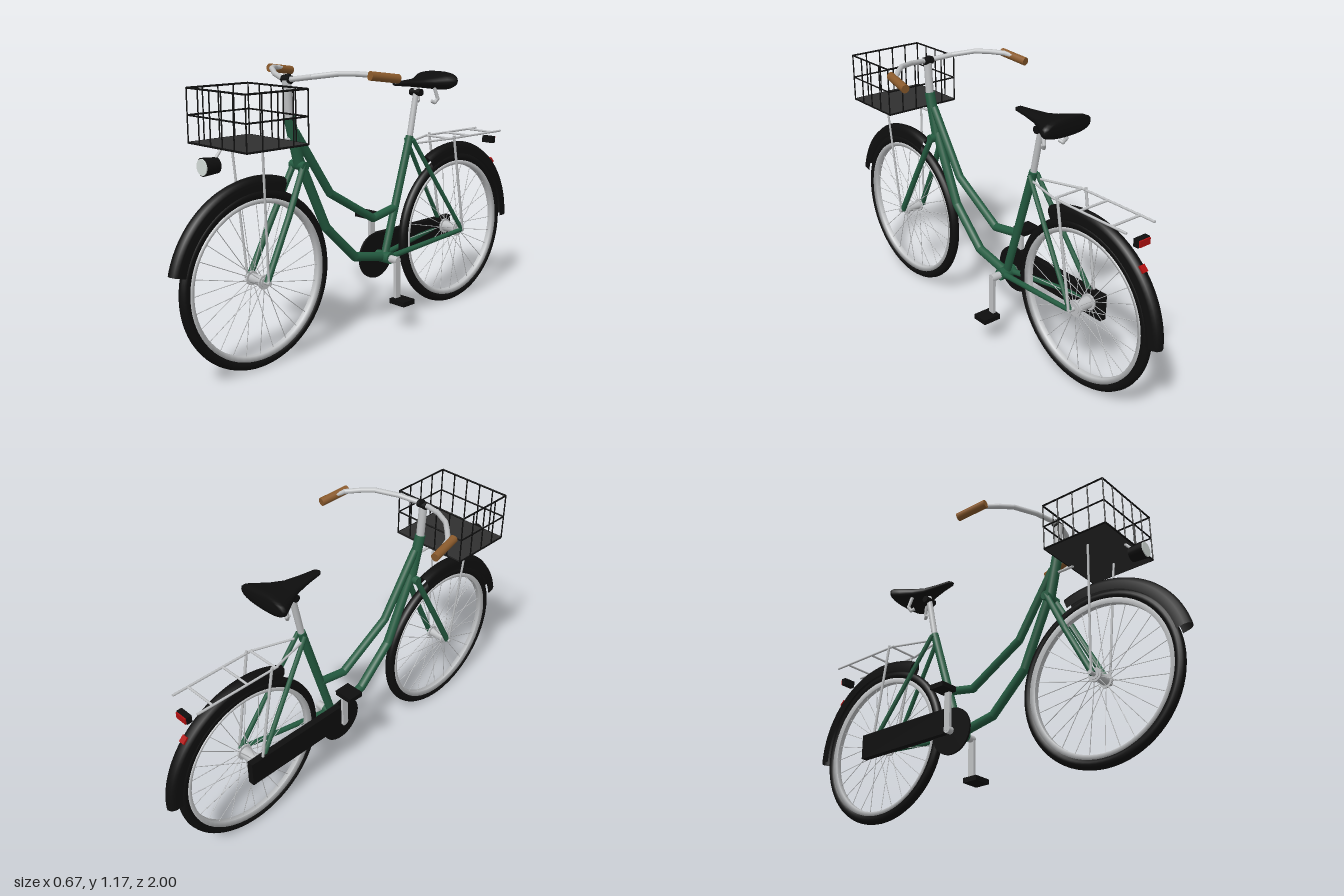
import * as THREE from 'three';

const mat = (name, color, extra = {}) => {
  const m = new THREE.MeshStandardMaterial({ color, ...extra });
  m.name = name;
  return m;
};
const V = (x, y, z) => new THREE.Vector3(x, y, z);

export function createModel() {
  const bike = new THREE.Group();
  bike.name = 'bicycle';
  const green = mat('frame green', 0x245c41);
  const silver = mat('silver metal', 0xbfc1c3);
  const black = mat('black', 0x0e0e0e, { side: THREE.DoubleSide });
  const brown = mat('brown grip', 0x8a5a2c);
  const charcoal = mat('charcoal', 0x303030);
  const red = mat('reflector red', 0xb01010);
  const lens = mat('lamp lens', 0xd4dcd8);

  const group = (name, parent = bike) => {
    const g = new THREE.Group();
    g.name = name;
    parent.add(g);
    return g;
  };
  const add = (parent, name, geo, m, x = 0, y = 0, z = 0) => {
    const mesh = new THREE.Mesh(geo, m);
    mesh.name = name;
    mesh.position.set(x, y, z);
    parent.add(mesh);
    return mesh;
  };
  // straight rod between two points, r2 is the radius at the far end
  const rod = (parent, name, a, b, r, m, sides = 12, r2 = r) => {
    const d = b.clone().sub(a);
    const mesh = add(parent, name, new THREE.CylinderGeometry(r2, r, d.length(), sides), m);
    mesh.position.copy(a).addScaledVector(d, 0.5);
    mesh.quaternion.setFromUnitVectors(V(0, 1, 0), d.normalize());
    return mesh;
  };
  // bent tube: rods joined by balls
  const bent = (parent, name, pts, r, m) => {
    const g = group(name, parent);
    pts.slice(1).forEach((p, i) => {
      rod(g, name + 'Section', pts[i], p, r, m);
      if (i < pts.length - 2) add(g, name + 'Bend', new THREE.SphereGeometry(r, 12, 8), m, p.x, p.y, p.z);
    });
    return g;
  };
  // profile [radius, sideways] swept round the x axis, angles measured from +z upward
  const hoop = (profile, start = 0, end = 360, seg = 64) =>
    new THREE.LatheGeometry(profile.map(([r, x]) => new THREE.Vector2(r, x)), seg,
      THREE.MathUtils.degToRad(start), THREE.MathUtils.degToRad(end - start)).rotateZ(Math.PI / 2);

  const WY = 0.363, FZ = 0.598, RZ = -0.583;

  // wheels
  const wheel = (name, z, hubR, fenderFrom, fenderTo) => {
    const g = group(name);
    g.position.set(0, WY, z);
    add(g, 'tire', new THREE.TorusGeometry(0.341, 0.0215, 14, 72).rotateY(Math.PI / 2), black);
    add(g, 'rim', hoop([[0.306, 0.011], [0.306, -0.011], [0.326, -0.018], [0.326, 0.018], [0.306, 0.011]]), silver);
    rod(g, 'hub', V(-0.045, 0, 0), V(0.045, 0, 0), hubR, silver, 18);
    rod(g, 'axle', V(-0.075, 0, 0), V(0.075, 0, 0), 0.009, silver);
    for (const s of [-1, 1]) rod(g, 'hubFlange', V(s * 0.034, 0, 0), V(s * 0.042, 0, 0), hubR + 0.009, silver, 18);
    for (let i = 0; i < 28; i++) {
      const a = (i / 28) * Math.PI * 2, s = i % 2 ? 1 : -1, r = hubR + 0.004;
      rod(g, 'spoke', V(s * 0.037, r * Math.sin(a), r * Math.cos(a)),
        V(0, 0.308 * Math.sin(a), 0.308 * Math.cos(a)), 0.0016, silver, 5);
    }
    add(g, 'fender', hoop([[0.358, -0.026], [0.392, -0.026], [0.408, -0.018], [0.416, 0],
      [0.408, 0.018], [0.392, 0.026], [0.358, 0.026]], fenderFrom, fenderTo, 36), black);
  };
  wheel('frontWheel', FZ, 0.02, 14, 110);
  wheel('rearWheel', RZ, 0.026, 62, 180);

  // frame
  const frame = group('frame');
  const bracket = V(0, 0.31, -0.118), seatTop = V(0, 0.838, -0.28);
  rod(frame, 'headTube', V(0, 0.79, 0.375), V(0, 0.988, 0.424), 0.023, green, 16);
  bent(frame, 'upperTube', [V(0, 0.925, 0.395), V(0, 0.65, 0.21), V(0, 0.5, -0.045), V(0, 0.525, -0.18)], 0.018, green);
  bent(frame, 'downTube', [V(0, 0.83, 0.385), V(0, 0.508, 0.235), V(0, 0.347, 0.065), bracket], 0.02, green);
  rod(frame, 'seatTube', bracket, seatTop, 0.018, green);
  rod(frame, 'bottomBracket', V(-0.04, 0.31, -0.118), V(0.04, 0.31, -0.118), 0.026, green, 16);
  rod(frame, 'forkCrown', V(-0.042, 0.79, 0.378), V(0.042, 0.79, 0.378), 0.019, green);
  for (const s of [-1, 1]) {
    bent(frame, 'forkLeg', [V(s * 0.03, 0.795, 0.378), V(s * 0.046, 0.6, 0.475), V(s * 0.056, WY, FZ)], 0.013, green);
    rod(frame, 'chainStay', V(s * 0.022, 0.31, -0.118), V(s * 0.066, WY, RZ), 0.013, green, 10, 0.01);
    rod(frame, 'seatStay', V(s * 0.02, 0.825, -0.278), V(s * 0.066, WY, RZ), 0.01, green, 10);
  }

  // saddle and post
  const seat = group('seat');
  rod(seat, 'seatPost', seatTop, V(0, 1.05, -0.324), 0.014, silver);
  rod(seat, 'seatClamp', V(-0.03, 1.03, -0.32), V(0.03, 1.03, -0.32), 0.016, black);
  // sections: z, half width, top, bottom
  const sections = [[-0.173, 0.008, 1.079, 1.071], [-0.185, 0.018, 1.085, 1.066], [-0.25, 0.028, 1.087, 1.06],
    [-0.32, 0.044, 1.09, 1.052], [-0.37, 0.07, 1.097, 1.045], [-0.42, 0.102, 1.108, 1.038],
    [-0.45, 0.121, 1.115, 1.034], [-0.466, 0.118, 1.116, 1.04], [-0.473, 0.1, 1.112, 1.06]];
  const N = 24, pos = [], idx = [];
  for (const [z, w, top, bot] of sections) {
    for (let i = 0; i < N; i++) {
      const a = (i / N) * Math.PI * 2, c = Math.cos(a), s = Math.sin(a);
      const sq = (v) => Math.sign(v) * Math.abs(v) ** 0.8;
      pos.push(w * sq(c), (top + bot) / 2 + ((top - bot) / 2) * sq(s), z);
    }
  }
  for (let k = 0; k < sections.length - 1; k++) {
    for (let i = 0; i < N; i++) {
      const a = k * N + i, b = k * N + ((i + 1) % N);
      idx.push(a, a + N, b, b, a + N, b + N);
    }
  }
  const last = (sections.length - 1) * N;
  for (let i = 1; i < N - 1; i++) idx.push(0, i, i + 1, last, last + i + 1, last + i);
  const saddle = new THREE.BufferGeometry();
  saddle.setAttribute('position', new THREE.Float32BufferAttribute(pos, 3));
  saddle.setIndex(idx);
  saddle.computeVertexNormals();
  add(seat, 'saddle', saddle, black);
  for (const s of [-1, 1]) {
    bent(seat, 'saddleSpring', [V(s * 0.05, 1.05, -0.385), V(s * 0.058, 1.0, -0.4),
      V(s * 0.05, 0.982, -0.39), V(s * 0.042, 0.99, -0.375)], 0.008, silver);
  }

  // stem, handlebar and grips
  const steering = group('steering');
  rod(steering, 'stem', V(0, 0.985, 0.424), V(0, 1.13, 0.434), 0.018, silver, 16);
  rod(steering, 'stemClamp', V(-0.022, 1.133, 0.43), V(0.022, 1.133, 0.43), 0.017, black);
  rod(steering, 'stemCap', V(0, 1.125, 0.425), V(0, 1.153, 0.425), 0.012, black);
  bent(steering, 'handlebar', [-1, 1].flatMap((s) => {
    const half = [[0.03, 1.135, 0.43], [0.11, 1.147, 0.4], [0.195, 1.16, 0.345], [0.24, 1.16, 0.3], [0.287, 1.155, 0.25], [0.31, 1.143, 0.17]]
      .map(([x, y, z]) => V(s * x, y, z));
    return s < 0 ? half.reverse() : half;
  }), 0.011, silver);
  for (const s of [-1, 1]) rod(steering, 'grip', V(s * 0.295, 1.154, 0.275), V(s * 0.315, 1.136, 0.14), 0.018, brown, 14);

  // wire basket
  const basket = group('basket');
  const X = 0.178, Z0 = 0.482, Z1 = 0.773, Y0 = 0.905, Y1 = 1.112;
  for (const [y, r] of [[Y0, 0.004], [1.01, 0.0035], [Y1, 0.004]]) {
    for (const z of [Z0, Z1]) rod(basket, 'rail', V(-X, y, z), V(X, y, z), r, black, 6);
    for (const x of [-X, X]) rod(basket, 'rail', V(x, y, Z0), V(x, y, Z1), r, black, 6);
  }
  for (let i = 0; i <= 5; i++) {
    const x = -X + (2 * X * i) / 5;
    for (const z of [Z0, Z1]) rod(basket, 'wire', V(x, Y0, z), V(x, Y1, z), 0.003, black, 6);
  }
  for (let i = 1; i < 4; i++) {
    const z = Z0 + ((Z1 - Z0) * i) / 4;
    for (const x of [-X, X]) rod(basket, 'wire', V(x, Y0, z), V(x, Y1, z), 0.003, black, 6);
  }
  add(basket, 'basketFloor', new THREE.BoxGeometry(2 * X, 0.006, Z1 - Z0), charcoal, 0, Y0, (Z0 + Z1) / 2);
  for (const s of [-1, 1]) rod(basket, 'basketStrut', V(s * 0.066, WY, FZ), V(s * 0.095, Y0, 0.636), 0.005, silver, 8);
  rod(basket, 'basketBracket', V(0, 0.9, 0.4), V(0, 0.9, 0.5), 0.006, silver, 8);

  // headlamp
  const lamp = group('headlamp');
  rod(lamp, 'lampBody', V(0, 0.842, 0.775), V(0, 0.842, 0.838), 0.03, black, 20, 0.035);
  rod(lamp, 'lampLens', V(0, 0.842, 0.837), V(0, 0.842, 0.842), 0.031, lens, 20);
  rod(lamp, 'lampBracket', V(0, 0.86, 0.785), V(0, 0.903, 0.75), 0.006, silver, 8);

  // cranks, pedals and chain case
  const drive = group('drive');
  rod(drive, 'crankAxle', V(-0.085, 0.308, -0.118), V(0.085, 0.308, -0.118), 0.017, silver, 16);
  for (const s of [-1, 1]) {
    const py = 0.307 - s * 0.18;
    add(drive, 'crank', new THREE.BoxGeometry(0.014, 0.19, 0.03), silver, s * 0.079, 0.307 - s * 0.09, -0.118);
    rod(drive, 'pedalAxle', V(s * 0.07, py, -0.118), V(s * 0.15, py, -0.118), 0.007, silver, 8);
    add(drive, 'pedal', new THREE.BoxGeometry(0.086, 0.022, 0.072), black, s * 0.108, py, -0.12);
  }
  add(drive, 'chainCase', new THREE.BoxGeometry(0.03, 0.112, 0.5), black, -0.066, 0.35, -0.39);
  rod(drive, 'chainDisc', V(-0.058, 0.307, -0.118), V(-0.049, 0.307, -0.118), 0.104, black, 32);

  // rear carrier
  const rack = group('rearRack');
  for (const s of [-1, 1]) {
    rod(rack, 'rackRail', V(s * 0.074, 0.812, -0.47), V(s * 0.074, 0.81, -0.855), 0.005, silver, 8);
    rod(rack, 'rackArm', V(s * 0.02, 0.805, -0.3), V(s * 0.074, 0.812, -0.48), 0.005, silver, 8);
    rod(rack, 'rackStrut', V(s * 0.072, WY, RZ), V(s * 0.075, 0.823, -0.5), 0.006, silver, 8);
  }
  for (const z of [-0.48, -0.62, -0.785]) rod(rack, 'rackBar', V(-0.076, 0.811, z), V(0.076, 0.811, z), 0.005, silver, 8);

  // tail light and fender reflector
  const tail = group('tailLight');
  add(tail, 'tailLightBody', new THREE.BoxGeometry(0.06, 0.032, 0.024), black, 0, 0.76, -0.863);
  add(tail, 'tailLightLens', new THREE.BoxGeometry(0.054, 0.026, 0.006), red, 0, 0.76, -0.878);
  const reflector = add(tail, 'fenderReflector', new THREE.BoxGeometry(0.026, 0.03, 0.009), red, 0, 0.655, -0.881);
  reflector.rotation.x = Math.PI / 4;

  return bike;
}
